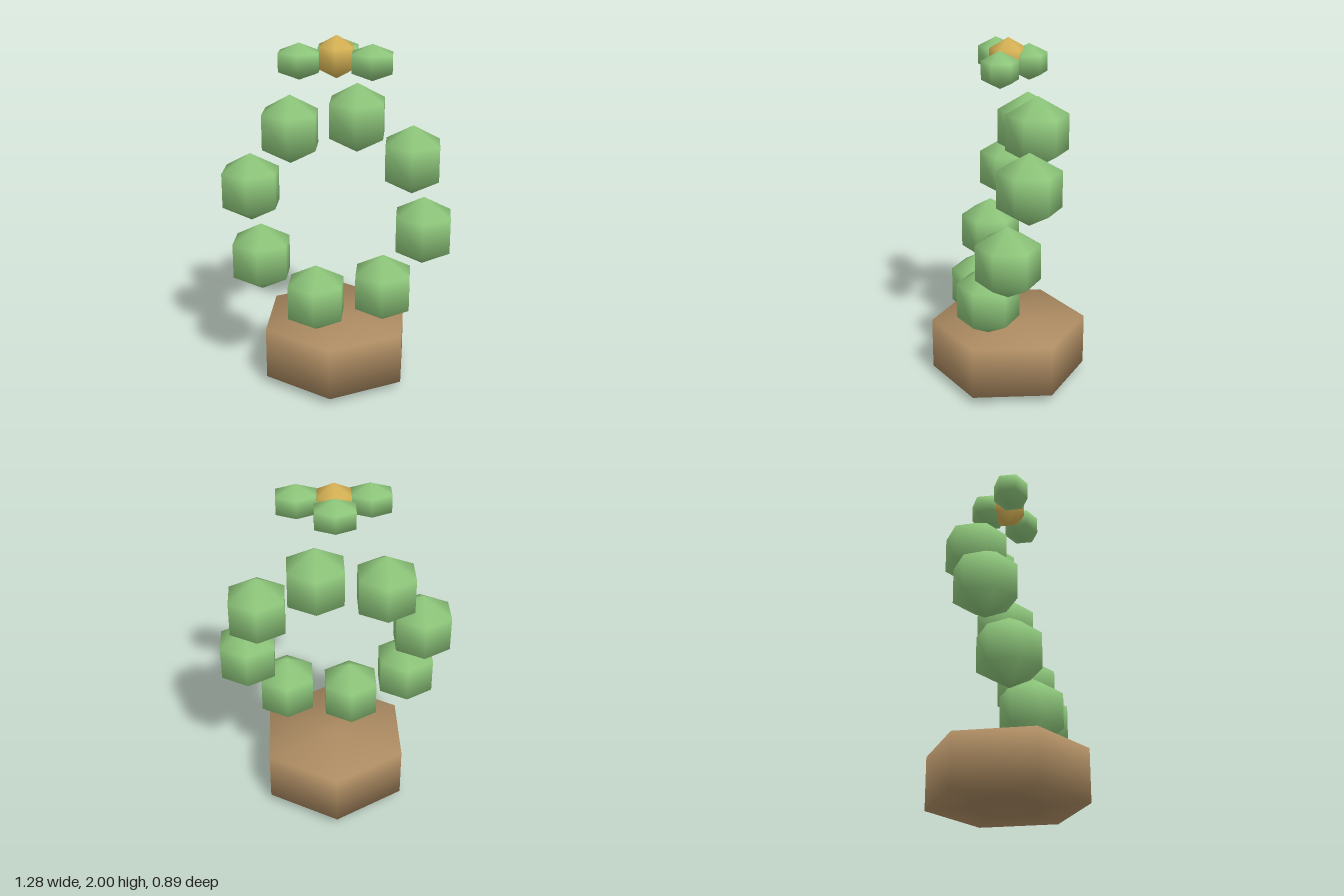
import * as THREE from 'three';

const green = new THREE.MeshStandardMaterial({ name: 'leaf green', color: 0x8fc87c });
const brown = new THREE.MeshStandardMaterial({ name: 'clay brown', color: 0xac8b62 });
const gold = new THREE.MeshStandardMaterial({ name: 'golden yellow', color: 0xd8b456 });

// Six-sided low-poly ball with its corners towards front and back
const ballGeometry = new THREE.SphereGeometry(1, 6, 3).rotateY(Math.PI / 2);

function addBall(parent, name, material, position, scale) {
  const ball = new THREE.Mesh(ballGeometry, material);
  ball.name = name;
  ball.position.set(...position);
  ball.scale.set(...scale);
  parent.add(ball);
}

export function createModel() {
  const model = new THREE.Group();
  model.name = 'wreathPlant';

  // Hexagonal pot with a slightly pointed underside
  const profile = [[0, 0], [0.22, 0.045], [0.445, 0.045], [0.445, 0.345], [0, 0.345]]
    .map(([r, y]) => new THREE.Vector2(r, y));
  const pot = new THREE.Mesh(new THREE.LatheGeometry(profile, 6), brown);
  pot.name = 'pot';
  model.add(pot);

  // Ring of eight leaf balls, leaning backwards
  const wreath = new THREE.Group();
  wreath.name = 'wreath';
  model.add(wreath);
  for (let i = 0; i < 8; i++) {
    const a = THREE.MathUtils.degToRad(-12 + i * 45);
    addBall(wreath, 'leafBall', green,
      [0.5 * Math.cos(a), 1.015 + 0.5 * Math.sin(a), -0.153 * Math.sin(a)], [0.2, 0.2, 0.2]);
  }

  // Flower floating on top: golden heart and three flattened petals
  const flower = new THREE.Group();
  flower.name = 'flower';
  model.add(flower);
  addBall(flower, 'flowerHeart', gold, [0, 1.882, 0], [0.118, 0.118, 0.118]);
  for (let i = 0; i < 3; i++) {
    const a = Math.PI / 6 + (i * Math.PI * 2) / 3;
    addBall(flower, 'petal', green,
      [0.225 * Math.cos(a), 1.867, 0.112 * Math.sin(a)], [0.143, 0.1, 0.114]);
  }
  return model;
}
